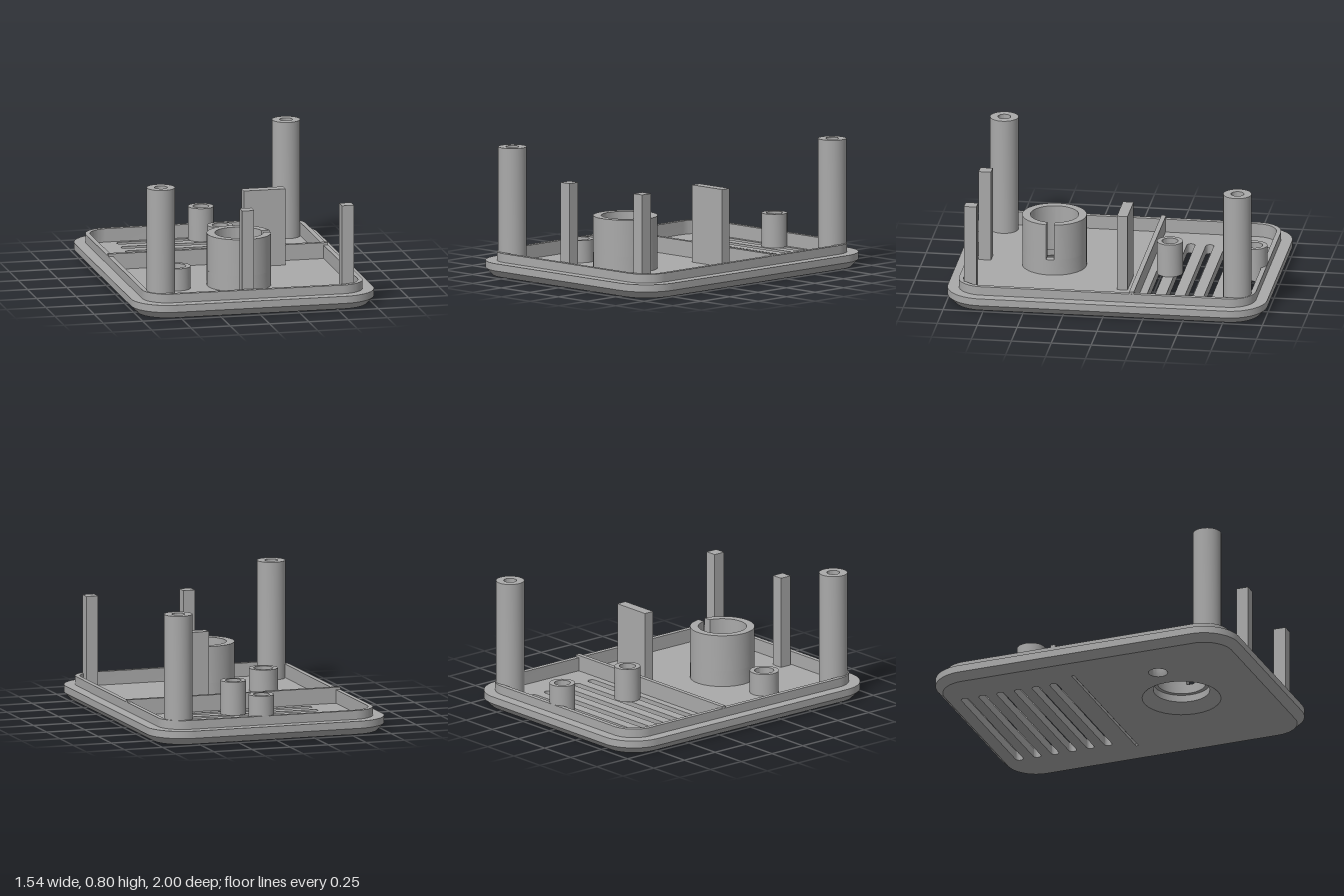
import * as THREE from 'three';
import { toCreasedNormals } from 'three/addons/utils/BufferGeometryUtils.js';

const FLOOR = 0.06;

export function createModel() {
  const model = new THREE.Group();
  const grey = new THREE.MeshStandardMaterial({ color: 0xaaaaaa });
  grey.name = 'plasticGrey';

  const add = (name, geometry, x = 0, y = 0, z = 0) => {
    const mesh = new THREE.Mesh(geometry, grey);
    mesh.name = name;
    mesh.position.set(x, y, z);
    model.add(mesh);
    return mesh;
  };

  // Rounded rectangle, centred on (cx, cy)
  const roundedRect = (path, hx, hy, r, cx = 0, cy = 0) => {
    path.absarc(cx + hx - r, cy + hy - r, r, 0, Math.PI / 2);
    path.absarc(cx - hx + r, cy + hy - r, r, Math.PI / 2, Math.PI);
    path.absarc(cx - hx + r, cy - hy + r, r, Math.PI, Math.PI * 1.5);
    path.absarc(cx + hx - r, cy - hy + r, r, Math.PI * 1.5, Math.PI * 2);
    path.closePath();
    return path;
  };
  const outline = (inset) => roundedRect(new THREE.Shape(), 0.77 - inset, 1 - inset, 0.23 - inset);
  const extrudeUp = (shape, depth) =>
    new THREE.ExtrudeGeometry(shape, { depth, bevelEnabled: false, curveSegments: 16 }).rotateX(-Math.PI / 2);
  const lathe = (points) => toCreasedNormals(
    new THREE.LatheGeometry(points.map(([r, y]) => new THREE.Vector2(r, y)), 48), 0.5);
  const box = (name, x0, x1, y0, y1, z0, z1) =>
    add(name, new THREE.BoxGeometry(x1 - x0, y1 - y0, z1 - z0), (x0 + x1) / 2, (y0 + y1) / 2, (z0 + z1) / 2);

  // Floor with vent slots, groove and two round openings
  const floor = outline(0.045);
  for (let i = 0; i < 6; i++) {
    floor.holes.push(roundedRect(new THREE.Path(), 0.485, 0.025, 0.0249, 0, 0.85 - i * 0.118));
  }
  floor.holes.push(new THREE.Path().absarc(0, -0.41, 0.245, 0, Math.PI * 2));
  floor.holes.push(new THREE.Path().absarc(-0.4, -0.41, 0.06, 0, Math.PI * 2));
  floor.holes.push(roundedRect(new THREE.Path(), 0.55, 0.008, 0.001, 0, 0.1));
  add('floor', toCreasedNormals(extrudeUp(floor, FLOOR), 0.5));
  box('grooveBottom', -0.55, 0.55, 0.02, FLOOR, -0.108, -0.092);

  // Chamfered edge and raised lip, lofted from inset outlines [inset, height]
  const sections = [[0.045, 0], [0, 0.045], [0, 0.09], [0.07, 0.09], [0.07, 0.145], [0.1, 0.145], [0.1, FLOOR]];
  const positions = [];
  const index = [];
  let count = 0;
  sections.forEach(([inset, y]) => {
    const ring = outline(inset).getPoints(12);
    count = ring.length;
    ring.forEach((p) => positions.push(p.x, y, -p.y));
  });
  for (let i = 0; i < sections.length - 1; i++) {
    for (let j = 0; j < count; j++) {
      const k = (j + 1) % count;
      const a = i * count + j, b = i * count + k;
      index.push(a, b, b + count, a, b + count, a + count);
    }
  }
  const rim = new THREE.BufferGeometry();
  rim.setAttribute('position', new THREE.Float32BufferAttribute(positions, 3));
  rim.setIndex(index);
  rim.computeVertexNormals();
  add('rim', toCreasedNormals(rim, 0.5));

  // Large collar: countersunk base with a keyed ring on top
  add('collarBase', lathe([
    [0.25, FLOOR], [0.2, FLOOR], [0.2, 0.16], [0.15, 0.16],
    [0.15, 0.1], [0.175, 0.1], [0.175, 0.055], [0.245, 0],
  ]), 0, 0, 0.41);
  const keyHalf = 0.024;
  const ao = Math.asin(keyHalf / 0.2), ai = Math.asin(keyHalf / 0.15);
  const ring = new THREE.Shape();
  ring.absarc(0, 0, 0.2, ao, Math.PI * 2 - ao, false);
  ring.absarc(0, 0, 0.15, Math.PI * 2 - ai, ai, true);
  ring.closePath();
  const ringGeometry = new THREE.ExtrudeGeometry(ring, { depth: 0.23, bevelEnabled: false, curveSegments: 48 });
  add('collarRing', toCreasedNormals(ringGeometry.rotateX(-Math.PI / 2), 0.5), 0, 0.16, 0.41);

  // Small through boss
  add('smallBoss', lathe([
    [0.09, FLOOR - 0.002], [0.09, 0.2], [0.06, 0.2], [0.06, 0.16], [0.05, 0.16], [0.05, 0.03], [0.06, 0],
  ]), -0.4, 0, 0.41);

  // Hollow screw posts with blind holes
  const post = (name, x, z, r, hole, top, bottom) => add(name, lathe([
    [0, FLOOR], [r, FLOOR], [r, top], [hole, top], [hole, bottom], [0, bottom],
  ]), x, 0, z);
  post('frontCornerPost', -0.59, 0.81, 0.088, 0.04, 0.8, 0.4);
  post('backCornerPost', 0.585, -0.82, 0.088, 0.04, 0.8, 0.4);
  post('ventBossBack', 0.05, -0.85, 0.08, 0.05, 0.27, 0.09);
  post('ventBossFront', 0.05, -0.32, 0.08, 0.05, 0.27, 0.09);

  // Divider rib, upright tab and square pillars
  box('dividerRib', -0.699, 0.699, FLOOR, 0.16, -0.188, -0.158);
  box('uprightTab', 0.135, 0.4, FLOOR, 0.545, -0.105, -0.038);
  for (const x of [-0.0525, 0.5825]) {
    box('squarePillar', x - 0.038, x + 0.038, FLOOR, 0.64, 0.81, 0.888);
  }

  return model;
}
